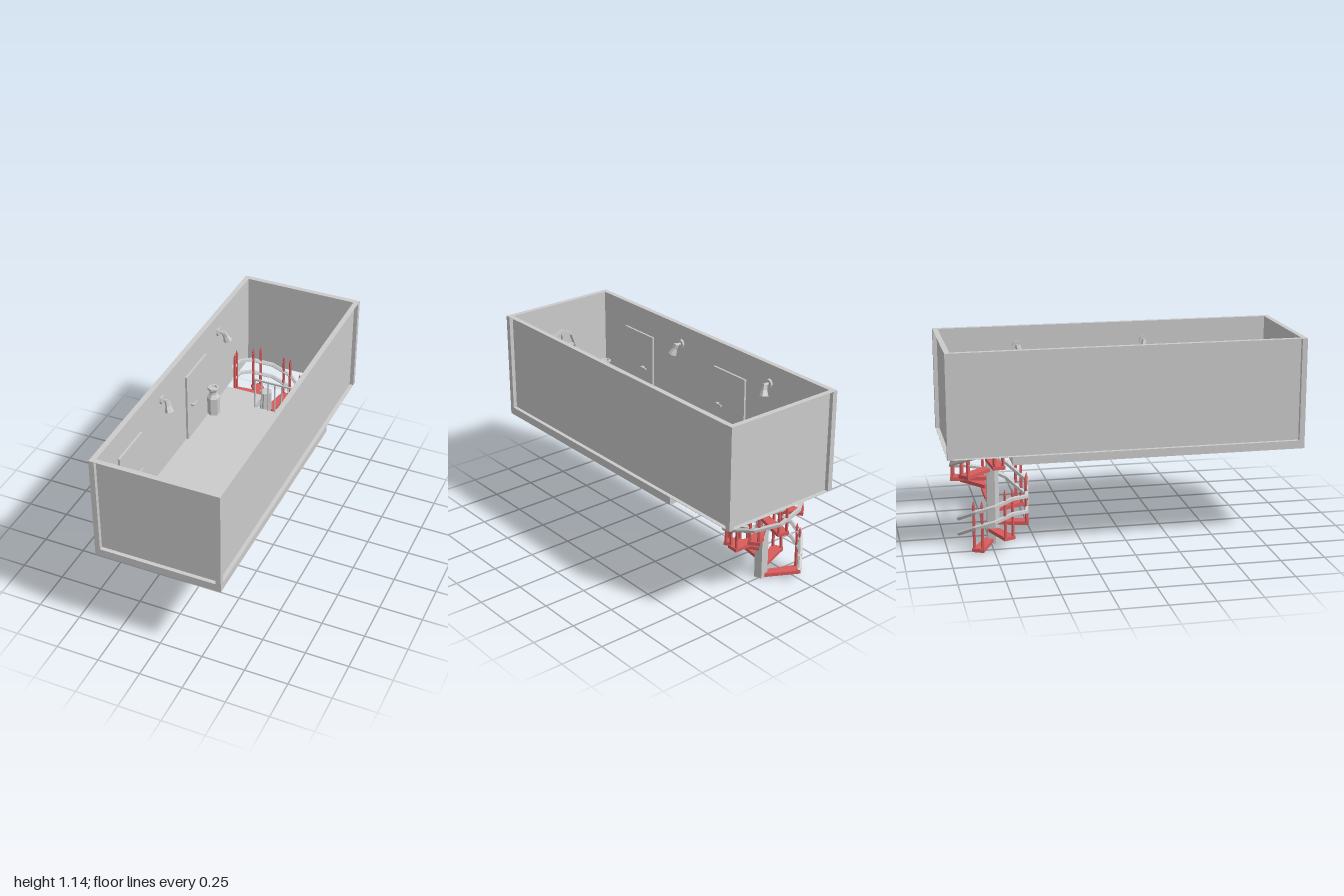
import * as THREE from 'three';

const grey = new THREE.MeshStandardMaterial({ color: 0xcccccc, flatShading: true });
const red = new THREE.MeshStandardMaterial({ color: 0xd95c5c, flatShading: true });

function add(parent, name, geometry, x = 0, y = 0, z = 0, material = grey) {
  const mesh = new THREE.Mesh(geometry, material);
  mesh.name = name;
  mesh.position.set(x, y, z);
  parent.add(mesh);
  return mesh;
}

function group(parent, name, x = 0, y = 0, z = 0) {
  const g = new THREE.Group();
  g.name = name;
  g.position.set(x, y, z);
  parent.add(g);
  return g;
}

const box = (w, h, d) => new THREE.BoxGeometry(w, h, d);
const shapeOf = (pts) => new THREE.Shape(pts.map(([x, y]) => new THREE.Vector2(x, y)));
const rect = (x, y) => shapeOf([[-x, -y], [x, -y], [x, y], [-x, y]]);
const extrude = (shape, depth) => new THREE.ExtrudeGeometry(shape, { depth, bevelEnabled: false });

// Flat slab drawn in plan (shape y points to -z), thickness upwards
const slab = (shape, h) => extrude(shape, h).rotateX(-Math.PI / 2);

const X = 0.365, BASE = 0.513, FLOOR = 0.557, TOP = 1.141, T = 0.03;

// Thin recessed wall panels between corner posts, with a rim above and below
function buildRoom(root) {
  const room = group(root, 'room');
  const plan = shapeOf([[-X, -1], [X, -1], [X, 0.52], [-0.1, 0.52], [-0.1, 0.65], [-X, 0.65]]);
  add(room, 'floor', slab(plan, FLOOR - BASE), 0, BASE);
  const h = TOP - FLOOR, y = (TOP + FLOOR) / 2, panel = 0.007;
  for (const s of [-1, 1]) {
    add(room, 'sideWall', box(panel, h, 2 - 2 * T), s * (X - T + panel / 2), y, 0);
    add(room, 'endWall', box(2 * (X - T), h, panel), 0, y, s * (1 - T + panel / 2));
    for (const e of [-1, 1]) add(room, 'cornerPost', box(T, h, T), s * (X - T / 2), y, e * (1 - T / 2));
  }
  const rim = rect(X, 1);
  rim.holes.push(rect(X - T, 1 - T));
  add(room, 'topRim', slab(rim, 0.002), 0, TOP - 0.002);
  add(room, 'bottomRim', slab(rim, 0.002), 0, FLOOR);
}

// Door panel with a lever handle, on the inside of a side wall
function buildDoor(root, side, z, handleZ) {
  const door = group(root, 'door', side * (X - T), FLOOR, z);
  add(door, 'doorPanel', box(0.016, 0.43, 0.265), -side * 0.004, 0.215, 0);
  add(door, 'handleStem', box(0.02, 0.012, 0.012), -side * 0.02, 0.217, handleZ + 0.018);
  add(door, 'handleLever', box(0.008, 0.012, 0.05), -side * 0.029, 0.217, handleZ);
}

// Wall spotlight: round mount, arm and flared head, turned a little sideways
function buildLamp(root, side, z, turn) {
  const lamp = group(root, 'wallLamp', side * (X - T), 1.03, z);
  lamp.rotation.y = side > 0 ? Math.PI : 0;
  add(lamp, 'lampMount', new THREE.CylinderGeometry(0.026, 0.026, 0.012, 8), 0.006).rotation.z = Math.PI / 2;
  add(lamp, 'lampArm', new THREE.CylinderGeometry(0.008, 0.008, 0.04, 6), 0.03).rotation.z = Math.PI / 2;
  const head = group(lamp, 'lampHead', 0.044, -0.022, turn * 0.008);
  head.rotation.set(-0.25 * turn, 0, 0.3);
  add(head, 'lampNeck', new THREE.CylinderGeometry(0.016, 0.016, 0.03, 6), 0, 0.012);
  add(head, 'lampShade', new THREE.CylinderGeometry(0.016, 0.026, 0.036, 6), 0, -0.021);
}

// Six-sided can with shoulder, neck and flared, dished rim
function buildCan(root, x, z) {
  const profile = [[0, 0], [0.039, 0], [0.041, 0.115], [0.024, 0.138], [0.022, 0.155], [0.034, 0.17],
    [0.034, 0.182], [0.024, 0.182], [0.02, 0.172], [0, 0.172]];
  add(root, 'can', new THREE.LatheGeometry(profile.map(([r, y]) => new THREE.Vector2(r, y)), 6), x, FLOOR, z);
}

// Arched window frame with glazing bars on the inside of the front wall
function buildWindow(root) {
  const win = group(root, 'archedWindow', 0, 0.697, 0.945);
  const arch = (r, base, rise) => {
    const pts = [[-r, base], [r, base]];
    for (let i = 0; i <= 4; i++) {
      const a = (i / 4) * Math.PI;
      pts.push([r * Math.cos(a), 0.165 + rise * Math.sin(a)]);
    }
    return pts;
  };
  const frame = shapeOf(arch(0.1, 0, 0.115));
  frame.holes.push(shapeOf(arch(0.084, 0.016, 0.098)));
  add(win, 'windowFrame', extrude(frame, 0.025));
  add(win, 'windowMullion', box(0.012, 0.26, 0.015), 0, 0.138, 0.014);
  for (const y of [0.085, 0.17]) add(win, 'windowBar', box(0.175, 0.012, 0.015), 0, y, 0.014);
}

// Guard rail along the stairwell opening
function buildGuardRail(root) {
  const rail = group(root, 'guardRail', 0, FLOOR, -0.518);
  add(rail, 'guardTopBar', box(0.435, 0.01, 0.01), 0.1175, 0.2, 0);
  for (let i = 0; i <= 10; i++) {
    add(rail, 'guardSpindle', new THREE.CylinderGeometry(0.005, 0.005, 0.2, 5), -0.095 + i * 0.0425, 0.1, 0);
  }
}

function buildStair(root) {
  const stair = group(root, 'spiralStair', -0.112, 0, -0.735);
  add(stair, 'centrePole', new THREE.CylinderGeometry(0.0385, 0.0385, 0.53, 5), 0, 0.265);
  const spiral = group(stair, 'treadsAndRails', 0.004, 0, -0.013);

  // Treads: angle in degrees (clockwise in plan from +x) and height
  const steps = [[206, 0.018], [157, 0.078], [102, 0.118], [60, 0.184], [3, 0.249],
    [-34, 0.323], [-77, 0.375], [-132, 0.428], [-188, 0.487]];
  const treadShape = shapeOf([[0.012, -0.025], [0.215, -0.034], [0.215, 0.034], [0.012, 0.025]]);
  for (const [deg, y] of steps) {
    const step = group(spiral, 'step', 0, y, 0);
    step.rotation.y = -THREE.MathUtils.degToRad(deg);
    add(step, 'tread', slab(treadShape, 0.02), 0, -0.01, 0, red);
    for (const s of [-1, 1]) {
      add(step, 'picket', new THREE.CylinderGeometry(0.008, 0.009, 0.25, 5), 0.204, 0.125, s * 0.024, red);
      add(step, 'picketTip', new THREE.ConeGeometry(0.01, 0.035, 5), 0.204, 0.2675, s * 0.024, red);
    }
  }

  // Two faceted handrails following the climb: angle and height
  const path = [[241, 0.095], [208, 0.15], [180, 0.18], [152, 0.214], [118, 0.194], [80, 0.25], [33, 0.317],
    [0, 0.37], [-35, 0.405], [-72, 0.44], [-105, 0.485], [-140, 0.535], [-165, 0.565], [-190, 0.58]];
  const railMaterial = new THREE.MeshStandardMaterial({ color: 0xcccccc, flatShading: true, side: THREE.DoubleSide });
  for (const lift of [0, 0.088]) {
    const curve = new THREE.CatmullRomCurve3(path.map(([deg, y]) => {
      const a = THREE.MathUtils.degToRad(deg);
      return new THREE.Vector3(0.216 * Math.cos(a), y + lift, 0.216 * Math.sin(a));
    }));
    // Sample exactly at the bends
    curve.getPointAt = curve.getPoint;
    curve.getTangentAt = curve.getTangent;
    add(spiral, 'handrail', new THREE.TubeGeometry(curve, path.length - 1, 0.0135, 5), 0, 0, 0, railMaterial);
  }
}

export function createModel() {
  const root = new THREE.Group();
  root.name = 'roomWithSpiralStair';
  buildRoom(root);
  for (const side of [-1, 1]) {
    buildDoor(root, side, -0.2, 0.065);
    buildDoor(root, side, 0.62, -0.065);
    buildLamp(root, side, -0.52, -1);
    buildLamp(root, side, 0.23, 1);
  }
  for (const [x, z] of [[-0.3, -0.37], [0.26, -0.44], [-0.26, 0.875], [0.275, 0.91]]) buildCan(root, x, z);
  buildWindow(root);
  buildGuardRail(root);
  buildStair(root);
  return root;
}
